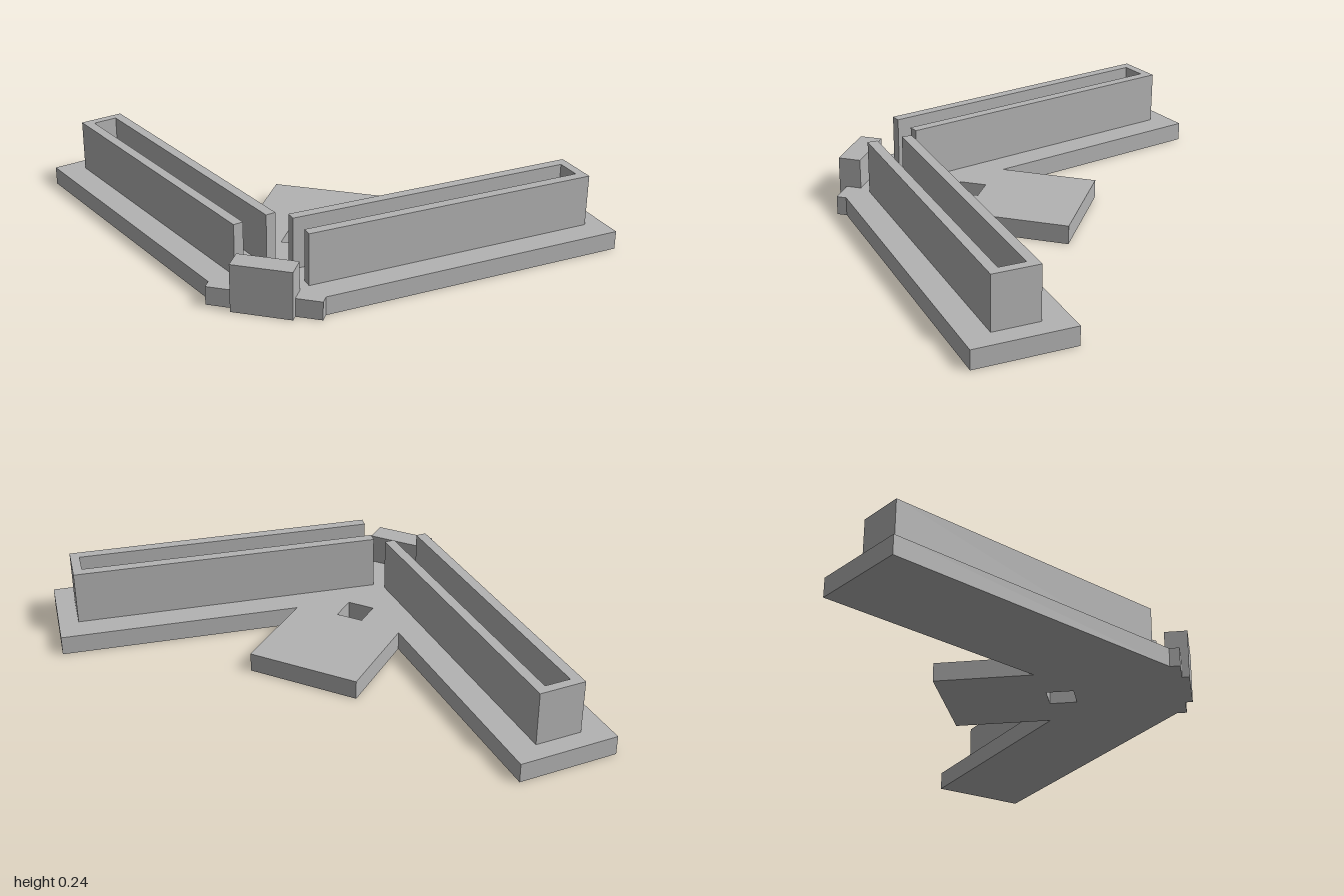
import * as THREE from 'three';

const PLATE_TOP = 0.063;
const WALL_TOP = 0.24;

// Extrudes a plan outline given as [x, z] points between two heights
function slab(name, material, points, bottom, top, hole) {
  const toVectors = (list) => list.map(([x, z]) => new THREE.Vector2(x, z));
  const shape = new THREE.Shape(toVectors(points));
  if (hole) shape.holes.push(new THREE.Path(toVectors(hole)));
  const geometry = new THREE.ExtrudeGeometry(shape, { depth: top - bottom, bevelEnabled: false });
  geometry.rotateX(Math.PI / 2);
  geometry.translate(0, top, 0);
  const mesh = new THREE.Mesh(geometry, material);
  mesh.name = name;
  return mesh;
}

export function createModel() {
  const model = new THREE.Group();
  model.name = 'angledBracket';
  const grey = new THREE.MeshStandardMaterial({ color: 0xb3b3b3 });
  grey.name = 'plain grey';

  // Base plate: two swept arms, rear tab, front lip and a square hole
  const half = [[0.187, 0.471], [0.187, 0.438], [1, -0.243], [0.79, -0.495], [0.187, 0.011], [0.187, -0.313]];
  const outline = [...half, ...half.map(([x, z]) => [-x, z]).reverse()];
  const hole = [[-0.045, 0.03], [0.045, 0.03], [0.045, 0.119], [-0.045, 0.119]];
  model.add(slab('basePlate', grey, outline, 0, PLATE_TOP, hole));

  // Channels: U-shaped walls along each arm, open towards the middle
  const angle = THREE.MathUtils.degToRad(40);
  const length = 1.013, width = 0.153, side = 0.034, end = 0.03;
  const channel = [
    [0, 0], [length, 0], [length, side], [end, side],
    [end, width - side], [length, width - side], [length, width], [0, width],
  ];
  for (const s of [1, -1]) {
    // u runs from the outer end to the open end, v across the channel
    const points = channel.map(([u, v]) => [
      s * (0.797 - u * Math.cos(angle) + v * Math.sin(angle)),
      -0.386 + u * Math.sin(angle) + v * Math.cos(angle),
    ]);
    model.add(slab(s > 0 ? 'leftChannel' : 'rightChannel', grey, points, PLATE_TOP, WALL_TOP));
  }

  // Front stop block
  const block = new THREE.Mesh(new THREE.BoxGeometry(0.2, 0.163, 0.075), grey);
  block.name = 'frontBlock';
  block.position.set(0, 0.0815, 0.4575);
  model.add(block);

  return model;
}
